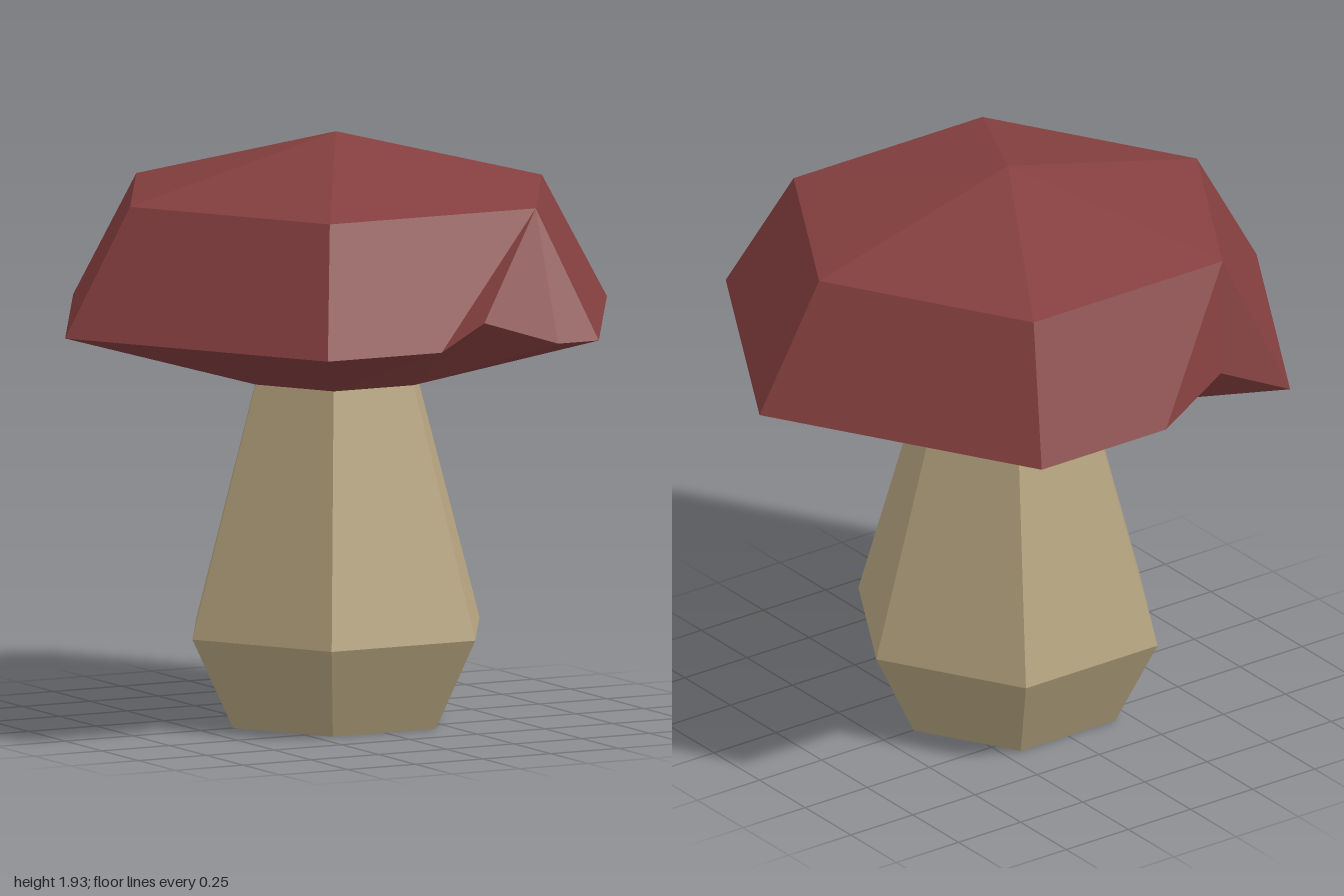
import * as THREE from 'three';

const V = (x, y, z) => new THREE.Vector3(x, y, z);

// Corner of a hexagonal ring; side k runs from corner k to corner k + 1
const corner = (k, r, y) => {
  const a = (k - 0.5) * Math.PI / 3;
  return V(Math.sin(a) * r, y, Math.cos(a) * r);
};

function facetedMesh(name, triangles, material) {
  const geometry = new THREE.BufferGeometry().setFromPoints(triangles.flat());
  geometry.computeVertexNormals();
  const mesh = new THREE.Mesh(geometry, material);
  mesh.name = name;
  return mesh;
}

// Hexagonal cap with a bite out of the rim at the front and at the back
function capTriangles() {
  const apex = V(0, 1.93, 0);
  const bites = {
    0: { points: [V(-0.08, 1.32, 0.866), V(0.13, 1.39, 0.77), V(0.35, 1.32, 0.866)], turn: 2 },
    3: { points: [V(0, 1.32, -0.866), V(-0.31, 1.385, -0.745)], turn: 0 },
  };
  const tris = [];
  for (let k = 0; k < 6; k++) {
    const { points, turn } = bites[k] ?? { points: [], turn: 0 };
    const [topL, topR] = [corner(k, 0.76, 1.735), corner(k + 1, 0.76, 1.735)];
    const [inL, inR] = [corner(k, 0.296, 1.12), corner(k + 1, 0.296, 1.12)];
    const rim = [corner(k, 1, 1.32), ...points, corner(k + 1, 1, 1.32)];

    // crown and upper wall
    tris.push([topL, topR, apex], [rim[0], topR, topL]);
    for (let i = 0; i < rim.length - 1; i++) {
      tris.push([rim[i], rim[i + 1], topR]);
      // underside fans to the top of the stem
      tris.push([rim[i + 1], rim[i], i < turn ? inL : inR]);
    }
    tris.push([rim[turn], inL, inR]);
  }
  return tris;
}

// Hexagonal stem, swollen near the ground and closed below
function stemTriangles() {
  const rings = [[0.38, 0], [0.53, 0.3], [0.296, 1.12]];
  const tris = [];
  for (let k = 0; k < 6; k++) {
    for (let i = 0; i < 2; i++) {
      const [a, b] = [corner(k, ...rings[i]), corner(k + 1, ...rings[i])];
      const [c, d] = [corner(k + 1, ...rings[i + 1]), corner(k, ...rings[i + 1])];
      tris.push([a, b, c], [a, c, d]);
    }
    tris.push([corner(k + 1, ...rings[0]), corner(k, ...rings[0]), V(0, 0, 0)]);
  }
  return tris;
}

export function createModel() {
  const red = new THREE.MeshStandardMaterial({ color: 0x853f3f });
  red.name = 'dull red';
  const tan = new THREE.MeshStandardMaterial({ color: 0xb5a47f });
  tan.name = 'tan';
  red.flatShading = tan.flatShading = true;

  const mushroom = new THREE.Group();
  mushroom.name = 'mushroom';
  mushroom.add(
    facetedMesh('cap', capTriangles(), red),
    facetedMesh('stem', stemTriangles(), tan),
  );
  return mushroom;
}
